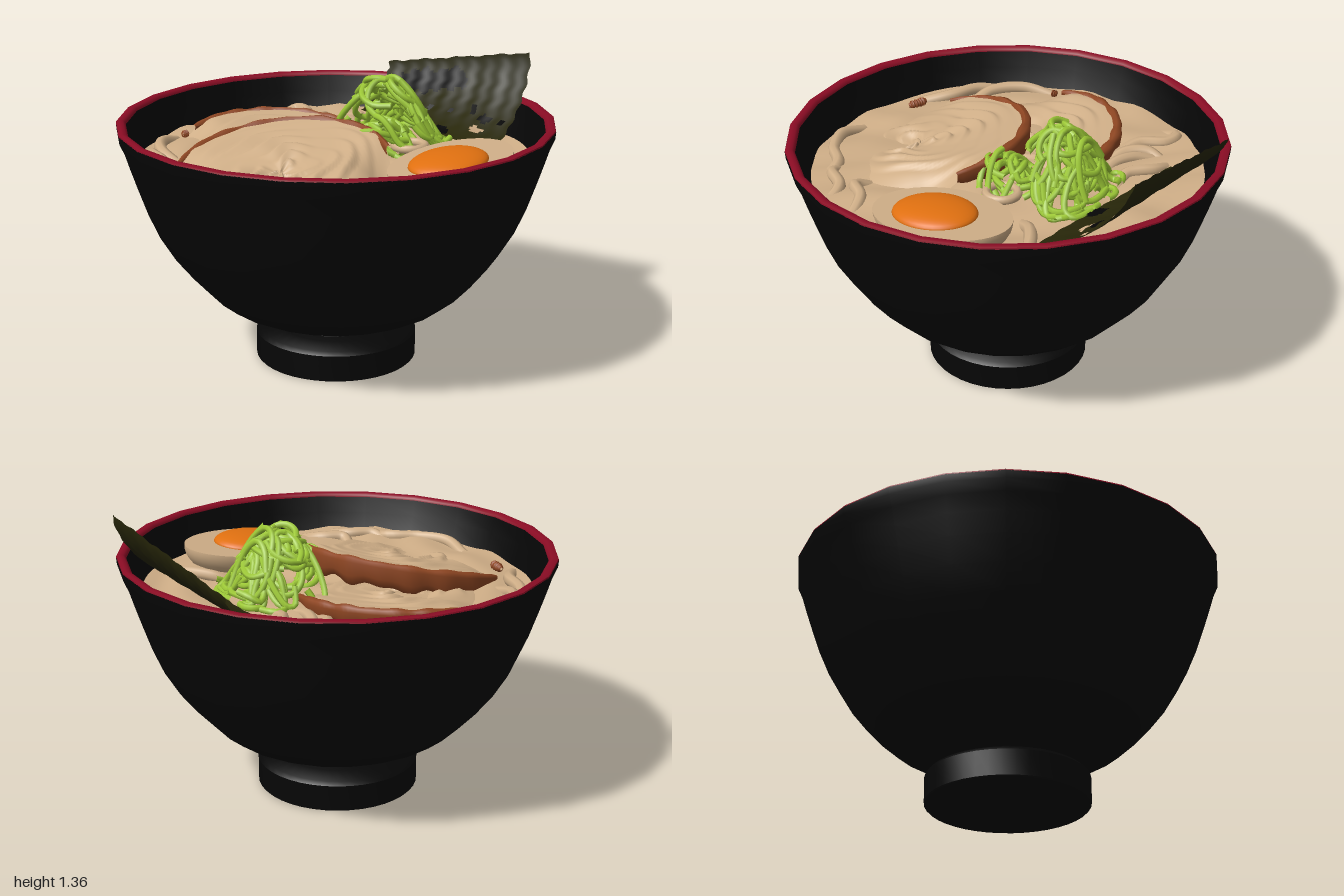
import * as THREE from 'three';
import { mergeVertices, toCreasedNormals } from 'three/addons/utils/BufferGeometryUtils.js';

const V = (x, y, z) => new THREE.Vector3(x, y, z);
const mat = (name, color, side = THREE.FrontSide) => {
  const m = new THREE.MeshStandardMaterial({ color, side });
  m.name = name;
  return m;
};

export function createModel() {
  const black = mat('black lacquer', 0x060606);
  const red = mat('red rim', 0x8a0c24);
  const cream = mat('creamy broth', 0xcfae87);
  const rust = mat('roasted edge', 0x8e4622);
  const green = mat('scallion green', 0x9fcb38);
  const orange = mat('yolk orange', 0xe07010);
  const olive = mat('seaweed', 0x272609, THREE.DoubleSide);

  const model = new THREE.Group();
  const add = (name, geometry, material, parent = model) => {
    const mesh = new THREE.Mesh(geometry, material);
    mesh.name = name;
    parent.add(mesh);
    return mesh;
  };
  const lathe = (points, sides) => toCreasedNormals(
    new THREE.LatheGeometry(points.map(p => new THREE.Vector2(...p)), sides), 0.7);

  // Small seeded random generator
  let seed = 7;
  const rand = (a = 0, b = 1) => {
    seed = (seed * 16807) % 2147483647;
    return a + (b - a) * seed / 2147483647;
  };

  // Bowl: outside wall, lip and inside wall
  add('bowl', lathe([
    [0.25, 0.14], [0.24, 0.172], [0.25, 0.19], [0.29, 0.21], [0.36, 0.23], [0.45, 0.255], [0.53, 0.295],
    [0.6, 0.35], [0.68, 0.435], [0.76, 0.535], [0.83, 0.65], [0.88, 0.765], [0.92, 0.88],
    [0.95, 0.97], [0.975, 1.05], [0.997, 1.1], [1, 1.134], [0.96, 1.134], [0.94, 1.05],
    [0.91, 0.96], [0.87, 0.85], [0, 0.83]], 24), black);
  add('foot', lathe([[0, 0], [0.37, 0], [0.376, 0.006], [0.376, 0.125], [0.36, 0.142],
    [0.27, 0.155], [0.235, 0.17], [0, 0.17]], 40), black);
  add('rim', lathe([[1, 1.133], [0.998, 1.14], [0.985, 1.145], [0.968, 1.143], [0.957, 1.134], [0.955, 1.125]], 24), red);

  // Round sheet whose height follows a rule of position
  const polarSheet = (radius, rings, sides, rule) => {
    let g = new THREE.RingGeometry(0, radius, sides, rings).rotateX(-Math.PI / 2);
    g.deleteAttribute('uv');
    g.deleteAttribute('normal');
    const p = g.attributes.position;
    for (let i = 0; i < p.count; i++) p.setXYZ(i, ...rule(p.getX(i), p.getZ(i)));
    g = mergeVertices(g, 1e-4);
    g.computeVertexNormals();
    return g;
  };

  // Broth with soft folds
  const brothY = (x, z) => 0.976 + 0.016 * Math.sin(9 * x + 3 * Math.sin(5 * z)) * Math.sin(8 * z + 2 * Math.sin(6 * x));
  add('broth', polarSheet(0.892, 40, 96, (x, z) => [x, brothY(x, z), z]), cream);

  // Lumpy strip of roasted edge, stretched downward below its path
  const edgeStrip = (points, width, depth) => {
    const curve = new THREE.CatmullRomCurve3(points), n = 48, sides = 8;
    const g = new THREE.TubeGeometry(curve, n, width, sides);
    const p = g.attributes.position;
    for (let i = 0; i <= n; i++) {
      const c = curve.getPointAt(i / n);
      const taper = Math.min(1, 0.35 + 5 * Math.min(i, n - i) / n) * (1 + 0.1 * Math.sin(i * 1.1) + 0.1 * Math.sin(i * 0.7));
      for (let j = 0; j <= sides; j++) {
        const k = i * (sides + 1) + j;
        const dy = (p.getY(k) - c.y) * taper;
        p.setXYZ(k, c.x + (p.getX(k) - c.x) * taper, c.y + (dy < 0 ? dy * depth : dy),
          c.z + (p.getZ(k) - c.z) * taper);
      }
    }
    g.computeVertexNormals();
    return g;
  };

  // Meat slices: tilted swirled discs with a roasted edge along the raised arc
  const slices = [
    { cx: -0.28, cz: 0.14, R: 0.46, y: 0.98, slope: 0.13, up: [-0.7, -0.7], from: 172, to: 293, hollow: [-0.36, 0.15, 0.05], depth: 2.6 },
    { cx: 0.08, cz: 0.45, R: 0.495, y: 1.0, slope: 0.23, up: [-0.25, -0.96], from: 159, to: 302, hollow: [0.1, 0.5, 0.035], depth: 3.8 }
  ];
  slices.forEach(({ cx, cz, R, y, slope, up, from, to, hollow, depth }, index) => {
    const planeY = (dx, dz) => y + slope * (up[0] * dx + up[1] * dz);
    const mid = (from + to) * Math.PI / 360;
    const half = (to - from) * Math.PI / 360;
    const g = polarSheet(R, 44, 110, (dx, dz) => {
      const r = Math.hypot(dx, dz), a = Math.atan2(dz, dx);
      const off = Math.abs(Math.atan2(Math.sin(a - mid), Math.cos(a - mid)));
      const free = THREE.MathUtils.smoothstep(off, half - 0.25, half + 0.35);
      const turn = r / 0.085 - a / (2 * Math.PI) + 0.35 * Math.sin(2 * a + 1) + 0.2 * Math.sin(5 * a + r * 14) + 10;
      const saw = turn - Math.floor(turn);
      const ridge = 0.024 * (saw < 0.75 ? saw / 0.75 : (1 - saw) * 4)
        * Math.max(0.1, 0.5 + 0.5 * Math.sin(3 * a + r * 11));
      let x = cx + dx, z = cz + dz;
      const fit = Math.min(1, 0.875 / Math.hypot(x, z));
      x *= fit;
      z *= fit;
      const pit = hollow[2] * Math.exp(-((x - hollow[0]) ** 2 + (z - hollow[1]) ** 2) / 0.009);
      const top = planeY(dx, dz) + 0.012 + ridge * (1 - (r / R) ** 4) - pit;
      const sink = free * THREE.MathUtils.smoothstep(r, 0.55 * R, R);
      return [x, THREE.MathUtils.lerp(top, 0.945, sink), z];
    });
    add('meatSlice' + (index + 1), g, cream);
    const arc = [];
    for (let i = 0; i <= 10; i++) {
      const a = THREE.MathUtils.degToRad(from + (to - from) * i / 10);
      const dx = R * Math.cos(a), dz = R * Math.sin(a);
      arc.push(V(cx + dx, planeY(dx, dz) - 0.004, cz + dz));
    }
    add('roastedEdge' + (index + 1), edgeStrip(arc, 0.025, depth), rust);
  });
  add('roastedScrap', edgeStrip([V(-0.31, 0.985, 0.725), V(-0.26, 0.985, 0.735), V(-0.22, 0.98, 0.76)], 0.02, 1), rust);
  add('roastedScrap', edgeStrip([V(-0.745, 0.985, 0.24), V(-0.74, 0.985, 0.27)], 0.016, 1), rust);

  // Noodles half sunk in the broth, given as x, z paths
  const noodles = [
    [[-0.72, -0.37], [-0.7, -0.47], [-0.62, -0.46], [-0.54, -0.36], [-0.36, -0.31]],
    [[-0.5, -0.5], [-0.4, -0.42], [-0.28, -0.38], [-0.15, -0.4]],
    [[-0.48, -0.58], [-0.36, -0.56], [-0.25, -0.48], [-0.12, -0.5]],
    [[-0.5, -0.52], [-0.49, -0.44], [-0.42, -0.36], [-0.3, -0.33]],
    [[0.35, -0.33], [0.42, -0.42], [0.55, -0.5], [0.68, -0.5]],
    [[0.42, 0.62], [0.52, 0.6], [0.6, 0.49], [0.74, 0.46]],
    [[0.47, 0.42], [0.55, 0.44], [0.62, 0.35], [0.75, 0.3]],
    [[0.06, 0.81], [0.2, 0.82], [0.34, 0.75], [0.44, 0.64], [0.58, 0.62]],
    [[-0.78, 0.28], [-0.72, 0.42], [-0.6, 0.53], [-0.45, 0.56]],
    [[-0.7, 0.5], [-0.58, 0.6], [-0.44, 0.66], [-0.3, 0.8]]
  ];
  noodles.forEach(path => {
    const curve = new THREE.CatmullRomCurve3(path.map(([x, z], i) =>
      V(x, i % (path.length - 1) ? 0.982 : 0.945, z)));
    add('noodle', new THREE.TubeGeometry(curve, 32, 0.029, 8), cream);
  });
  const ring = add('noodleRing', new THREE.TorusGeometry(0.07, 0.02, 8, 28).rotateX(Math.PI / 2), cream);
  ring.position.set(0.29, 1.03, -0.18);

  // Halved egg
  const egg = new THREE.Group();
  egg.name = 'egg';
  egg.position.set(0.6, 1.04, -0.09);
  egg.rotation.set(0.08, 0, 0.03);
  model.add(egg);
  add('eggWhite', new THREE.SphereGeometry(1, 40, 12, 0, Math.PI * 2, Math.PI / 2, Math.PI / 2)
    .scale(0.235, 0.17, 0.335), cream, egg);
  add('eggFace', new THREE.CircleGeometry(1, 40).rotateX(-Math.PI / 2).scale(0.235, 1, 0.335), cream, egg);
  const yolk = add('yolk', new THREE.SphereGeometry(1, 36, 10, 0, Math.PI * 2, 0, Math.PI / 2)
    .scale(0.163, 0.05, 0.198), orange, egg);
  yolk.position.set(0.01, 0, 0.03);

  // Heap of curled scallion strands: main mound and a lower tail
  const mounds = [
    { n: 62, x: 0.03, z: -0.35, rx: 0.25, rz: 0.2, h: 0.27, wx: 0.27, wz: 0.21, peak: 0.05 },
    { n: 22, x: 0.17, z: -0.15, rx: 0.08, rz: 0.12, h: 0.13, wx: 0.13, wz: 0.19, peak: 0 }
  ];
  mounds.forEach(m => {
    for (let i = 0; i < m.n; i++) {
      const a = rand(0, 6.283), d = Math.sqrt(rand()) * 0.8;
      const r = rand(0.05, 0.13), start = rand(0, 6.283), sweep = rand(1.4, 4);
      const squash = rand(0.4, 1), tilt = rand(-0.4, 0.4), lift = rand(-0.04, 0.02), pts = [];
      for (let k = 0; k < 6; k++) {
        const t = start + sweep * k / 5;
        const x = m.rx * d * Math.cos(a) + r * Math.cos(t);
        const z = m.rz * d * Math.sin(a) + squash * r * Math.sin(t);
        const q = (x / m.wx) ** 2 + ((z - m.peak) / m.wz) ** 2;
        const y = 1 + m.h * Math.max(0, 1 - q) + lift + tilt * r * Math.sin(t);
        pts.push(V(m.x + x, Math.max(0.985, y), m.z + z));
      }
      add('scallion', new THREE.TubeGeometry(new THREE.CatmullRomCurve3(pts), 20, 0.015, 6), green);
    }
  });

  // Seaweed sheet: curved up against the rim, with ragged holes and dark patches
  const nu = 60, nv = 36, lerp = THREE.MathUtils.lerp;
  const sheet = new THREE.PlaneGeometry(1, 1, nu, nv);
  const sp = sheet.attributes.position, uv = sheet.attributes.uv;
  for (let i = 0; i < sp.count; i++) {
    const u = uv.getX(i), v = uv.getY(i);
    const ragU = 0.006 * Math.sin(v * 37), ragV = 0.005 * Math.sin(u * 41) * Math.sin(u * 17);
    const wz = 1 - (1 - v) ** 1.5, wy = v ** 1.4;
    sp.setXYZ(i, lerp(lerp(-0.4, 0.51, u), lerp(-0.435, 0.41, u), v) + ragU,
      lerp(lerp(1.0, 0.98, u), lerp(1.2, 1.36, u), wy) + ragV * v,
      lerp(lerp(-0.62, -0.5, u), lerp(-0.88, -0.92, u), wz) + ragV * (1 - v));
  }
  sheet.computeVertexNormals();
  // Spots as u, v, half width, half height
  const holes = [[0.42, 0.36, 0.022, 0.04], [0.57, 0.36, 0.02, 0.04], [0.72, 0.42, 0.02, 0.06],
    [0.8, 0.2, 0.05, 0.04], [0.93, 0.33, 0.02, 0.03]];
  const patches = [[0.27, 0.68, 0.16, 0.17], [0.47, 0.73, 0.15, 0.14], [0.18, 0.58, 0.07, 0.08],
    [0.82, 0.33, 0.05, 0.04], [0.6, 0.07, 0.05, 0.07]];
  const inside = (spots, u, v) => spots.some(([a, b, w, h]) =>
    ((u - a) / w) ** 2 + ((v - b) / h) ** 2 < 1 + 0.35 * Math.sin(u * 60 + v * 25));
  const body = [], dark = [], idx = sheet.index.array;
  for (let i = 0; i < idx.length; i += 6) {
    const cell = Array.from(idx.slice(i, i + 6));
    const u = uv.getX(cell[0]) + 0.5 / nu, v = uv.getY(cell[0]) - 0.5 / nv;
    if (inside(holes, u, v)) continue;
    body.push(...cell);
    if (inside(patches, u, v)) dark.push(...cell);
  }
  const darkSheet = sheet.clone();
  sheet.setIndex(body);
  darkSheet.setIndex(dark);
  add('seaweedSheet', sheet, olive);
  add('seaweedPatches', darkSheet.translate(0, 0.004, 0.005), black);

  return model;
}
